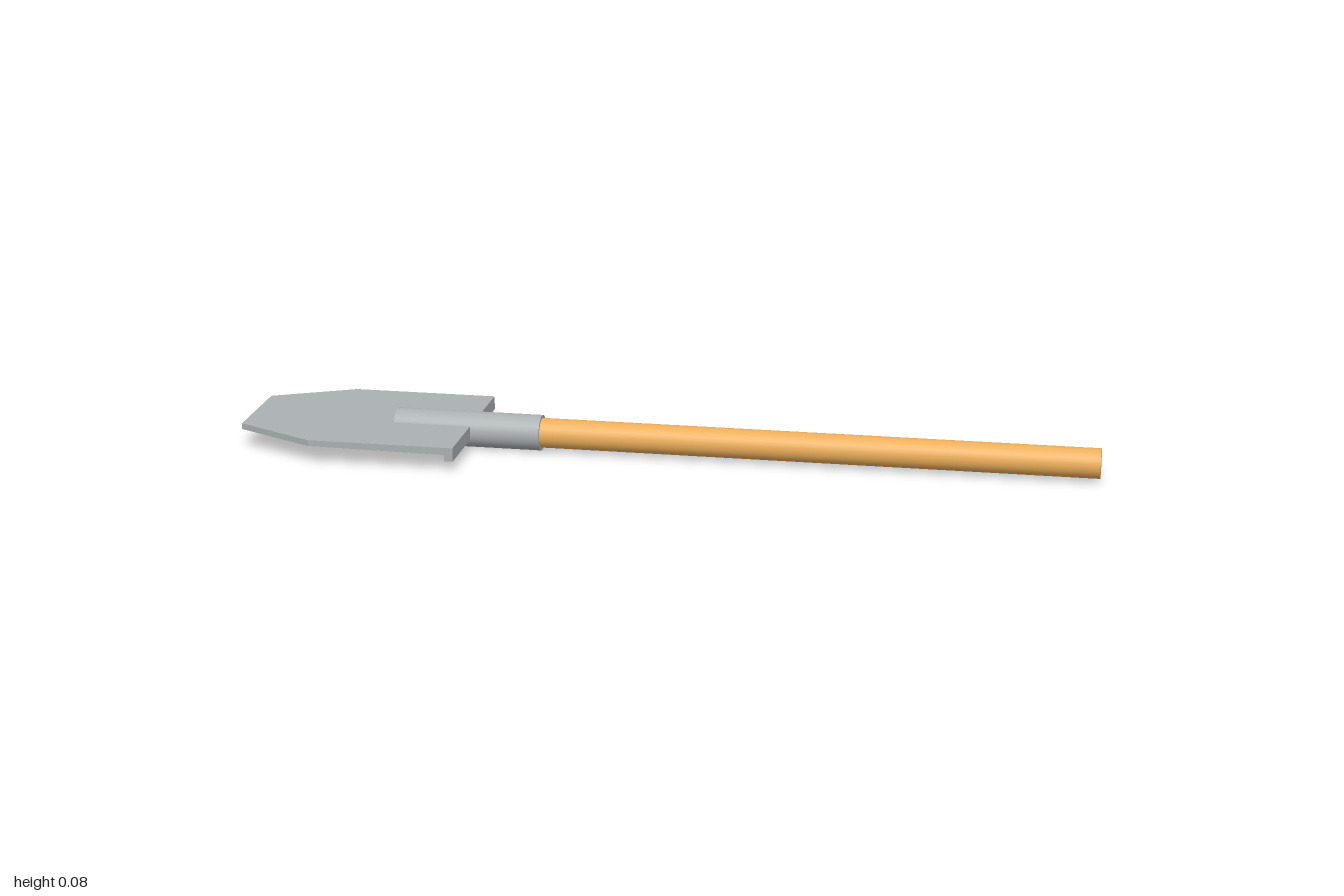
import * as THREE from 'three';

const AXIS_Y = 0.042;

// round bar lying along x
function bar(name, x0, x1, radius, material) {
  const geometry = new THREE.CylinderGeometry(radius, radius, x1 - x0, 32);
  geometry.rotateZ(-Math.PI / 2);
  geometry.translate((x0 + x1) / 2, AXIS_Y, 0);
  const mesh = new THREE.Mesh(geometry, material);
  mesh.name = name;
  return mesh;
}

// blade lofted along x from rectangular sections, with a lip folded down at the rear
function bladeGeometry() {
  const sections = [ // x, half width, top, bottom
    [-1, 0.11, 0.061, 0.047],
    [-0.81, 0.202, 0.06, 0.046],
    [-0.485, 0.202, 0.06, 0.043],
    [-0.485, 0.202, 0.06, 0.028],
    [-0.465, 0.202, 0.06, 0.028],
  ];
  const points = [], index = [];
  const tilt = 0.016; // slight roll about the handle
  sections.forEach(([x, w, top, bottom], i) => {
    for (const [y, z] of [[top, -w], [top, w], [bottom, w], [bottom, -w]]) points.push(x, y - tilt * z, z);
    if (i === 0) return;
    for (let j = 0; j < 4; j++) {
      const a = (i - 1) * 4 + j, b = (i - 1) * 4 + (j + 1) % 4;
      index.push(a, b, a + 4, b, b + 4, a + 4);
    }
  });
  const n = (sections.length - 1) * 4;
  index.push(0, 2, 1, 0, 3, 2, n, n + 1, n + 2, n, n + 2, n + 3);
  const indexed = new THREE.BufferGeometry();
  indexed.setAttribute('position', new THREE.Float32BufferAttribute(points, 3));
  indexed.setIndex(index);
  // separate corners keep the plate edges crisp
  const geometry = indexed.toNonIndexed();
  geometry.computeVertexNormals();
  return geometry;
}

export function createModel() {
  const group = new THREE.Group();
  group.name = 'shovel';
  const metal = new THREE.MeshStandardMaterial({ color: 0xaab0b3 });
  const wood = new THREE.MeshStandardMaterial({ color: 0xecae5a });

  const blade = new THREE.Mesh(bladeGeometry(), metal);
  blade.name = 'blade';
  group.add(
    blade,
    bar('socket', -0.65, -0.3, 0.042, metal),
    bar('handle', -0.32, 1, 0.035, wood),
  );
  return group;
}
